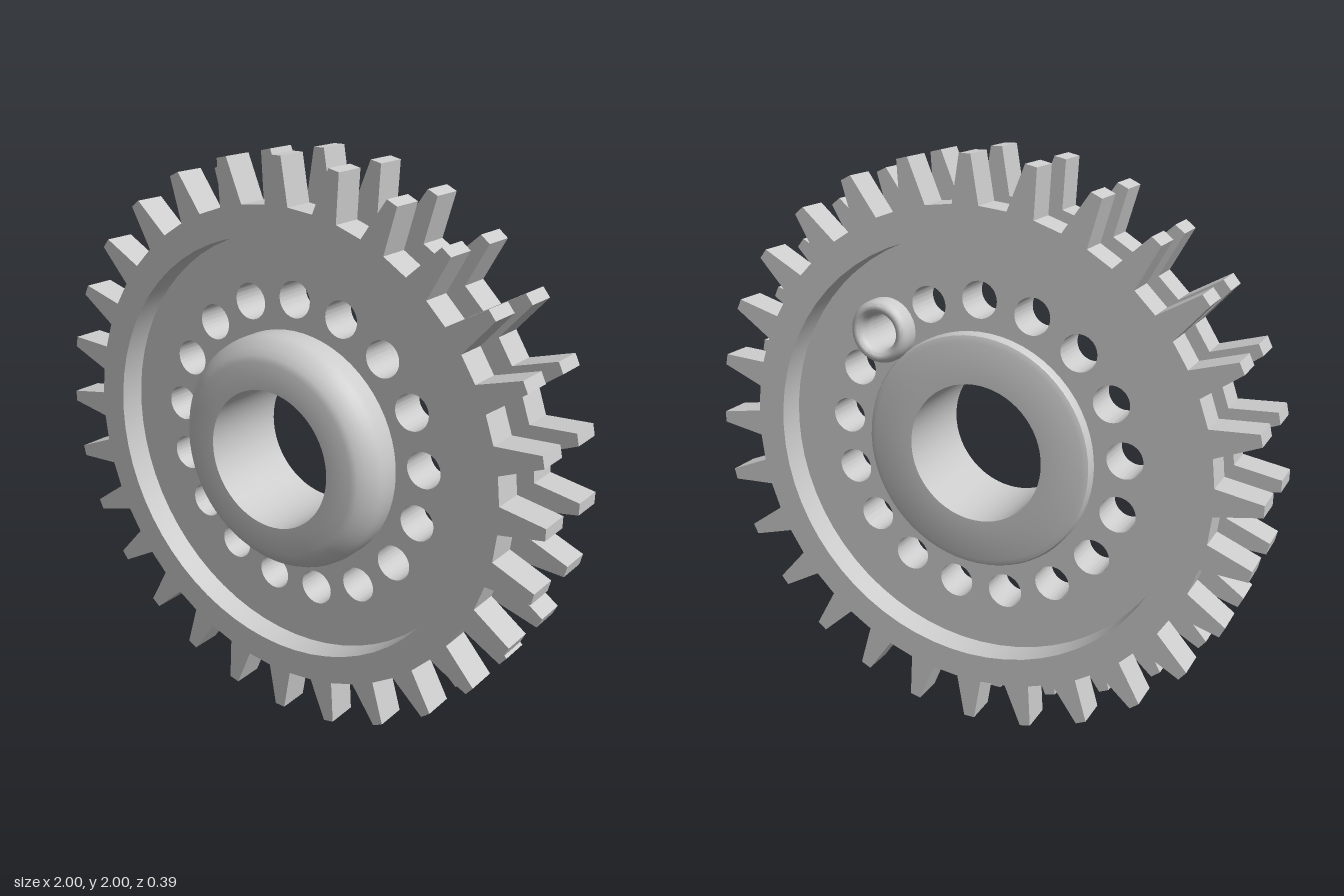
import * as THREE from 'three';
import { toCreasedNormals } from 'three/addons/utils/BufferGeometryUtils.js';

const TEETH = 28, HOLES = 17, HOLE_ORBIT = 0.523, HOLE_R = 0.063;

export function createModel() {
  const gear = new THREE.Group();
  gear.name = 'doubleGear';
  const material = new THREE.MeshStandardMaterial({ color: 0xcccccc });

  const add = (name, geometry, x = 0, y = 0, z = 0) => {
    const mesh = new THREE.Mesh(toCreasedNormals(geometry, 0.7), material);
    mesh.name = name;
    mesh.position.set(x, y + 1, z);
    gear.add(mesh);
  };
  // Point at an angle measured clockwise from the top
  const polar = (r, a) => new THREE.Vector2(r * Math.sin(a), r * Math.cos(a));
  const disc = (r) => new THREE.Shape().absarc(0, 0, r, 0, Math.PI * 2, false);
  const hole = (r, c = new THREE.Vector2()) => new THREE.Path().absarc(c.x, c.y, r, 0, Math.PI * 2, true);
  const extrude = (shape, depth) => new THREE.ExtrudeGeometry(shape, { depth, bevelEnabled: false, curveSegments: 32 });
  // Profile of [radius, z] pairs turned around the z axis
  const turn = (profile, segments) => new THREE.LatheGeometry(
    profile.map(([r, z]) => new THREE.Vector2(r, z)), segments).rotateX(Math.PI / 2);

  // Two toothed rims with tapered, flat-tipped teeth
  const outline = [];
  for (let i = 0; i < TEETH; i++) {
    const a = (-i / TEETH) * Math.PI * 2;
    outline.push(polar(0.845, a + 0.055), polar(1, a + 0.02), polar(1, a - 0.02), polar(0.845, a - 0.055));
  }
  const rim = new THREE.Shape(outline);
  rim.holes.push(hole(0.742));
  const rimGeometry = extrude(rim, 0.112);
  add('frontToothedRim', rimGeometry, 0, 0, 0.028);
  add('backToothedRim', rimGeometry, 0, 0, -0.195);

  // Spacer ring between the rims
  const spacer = disc(0.772);
  spacer.holes.push(hole(0.73));
  add('spacerRing', extrude(spacer, 0.108), 0, 0, -0.08);

  // Recessed web disc drilled with a circle of holes
  const web = disc(0.743);
  web.holes.push(hole(0.38));
  for (let i = 0; i < HOLES; i++) {
    web.holes.push(hole(HOLE_R, polar(HOLE_ORBIT, (i / HOLES) * Math.PI * 2)));
  }
  add('webDisc', extrude(web, 0.144), 0, 0, -0.098);

  // Hub with a softened flat back, domed front shoulder and open bore
  add('hub', turn([
    [0.245, -0.14], [0.39, -0.14], [0.41, -0.133], [0.416, -0.122],
    [0.416, 0.1], [0.412, 0.125], [0.402, 0.146], [0.382, 0.168], [0.362, 0.186], [0.34, 0.195],
    [0.245, 0.195], [0.245, -0.14],
  ], 64));

  // Small rounded collar around one hole on the back
  const collar = [[0.063, -0.09], [0.063, -0.135]];
  for (let i = 1; i <= 10; i++) {
    const a = (i / 10) * Math.PI;
    collar.push([0.0865 - 0.0235 * Math.cos(a), -0.135 - 0.035 * Math.sin(a)]);
  }
  collar.push([0.11, -0.09]);
  const spot = polar(HOLE_ORBIT, (2 / HOLES) * Math.PI * 2);
  add('holeCollar', turn(collar, 32), spot.x, spot.y);

  return gear;
}
